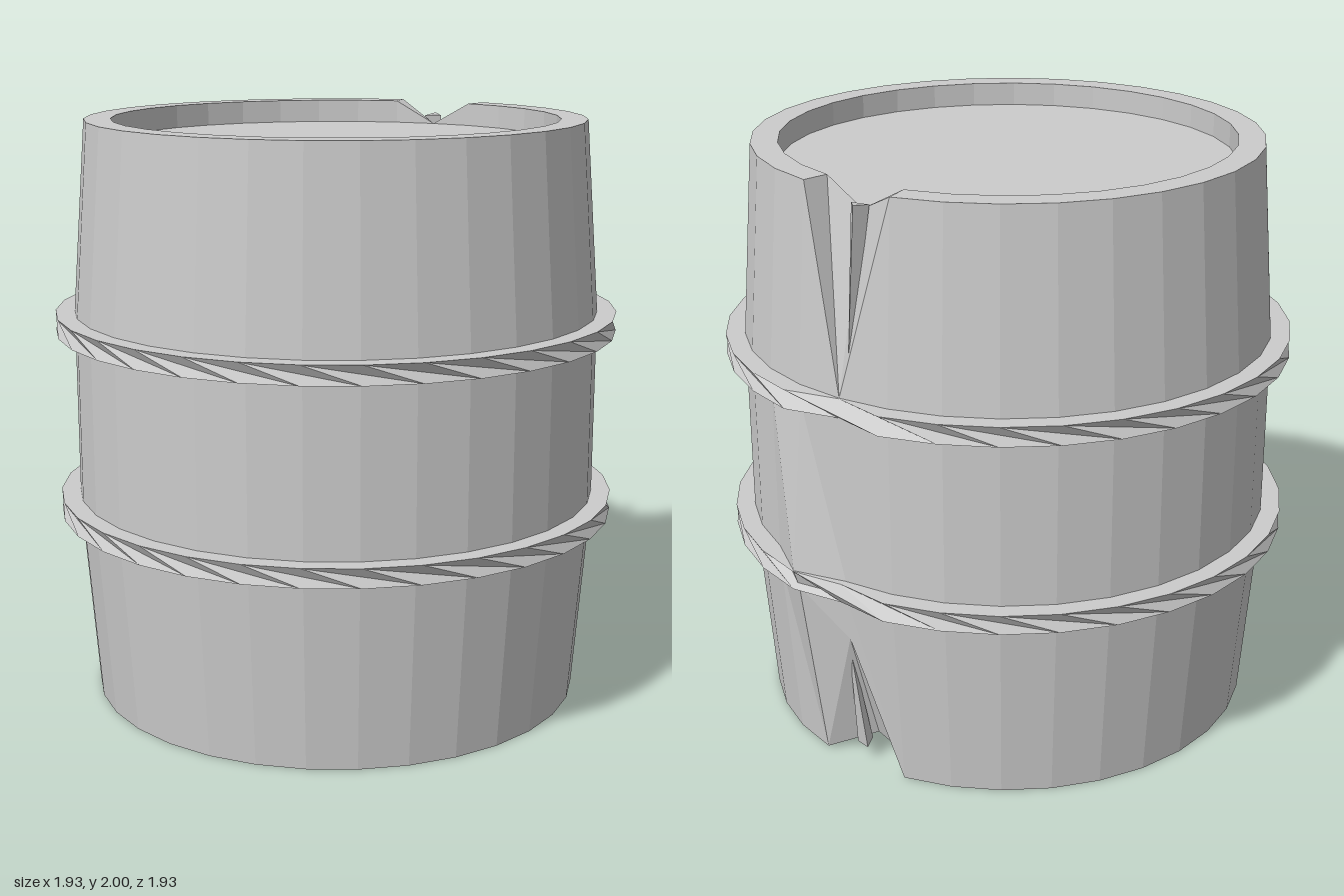
import * as THREE from 'three';

const SIDES = 32;
const BACK = 16; // segment index facing -z; larger indices run towards -x
const material = new THREE.MeshStandardMaterial({ color: 0xcccccc, flatShading: true, side: THREE.DoubleSide });

// Revolves a profile of [radius, y, twist in segments]; dents move single points, keyed "row,segment"
function revolve(name, profile, dents = {}) {
  const positions = [];
  const index = [];
  profile.forEach(([r0, y0, twist = 0], k) => {
    for (let i = 0; i < SIDES; i++) {
      const seg = (i + twist) % SIDES;
      const [r, y] = dents[`${k},${seg}`] || [r0, y0];
      const a = (seg / SIDES) * Math.PI * 2;
      positions.push(r * Math.sin(a), y, r * Math.cos(a));
    }
  });
  for (let k = 0; k < profile.length - 1; k++) {
    for (let i = 0; i < SIDES; i++) {
      const j = (i + 1) % SIDES;
      const a = k * SIDES + i, b = k * SIDES + j;
      const c = b + SIDES, d = a + SIDES;
      index.push(a, b, d, b, c, d);
    }
  }
  const indexed = new THREE.BufferGeometry();
  indexed.setAttribute('position', new THREE.Float32BufferAttribute(positions, 3));
  indexed.setIndex(index);
  const geometry = indexed.toNonIndexed();
  geometry.computeVertexNormals();
  const mesh = new THREE.Mesh(geometry, material);
  mesh.name = name;
  return mesh;
}

// Thin wooden shard from a base point to a tip, both given as [radius, y]
function splinter(name, segment, base, tip, width) {
  const a = (segment / SIDES) * Math.PI * 2;
  const from = new THREE.Vector3(base[0] * Math.sin(a), base[1], base[0] * Math.cos(a));
  const to = new THREE.Vector3(tip[0] * Math.sin(a), tip[1], tip[0] * Math.cos(a));
  const direction = to.clone().sub(from);
  const mesh = new THREE.Mesh(new THREE.ConeGeometry(width, direction.length(), 3), material);
  mesh.position.copy(from).add(to).multiplyScalar(0.5);
  mesh.quaternion.setFromUnitVectors(new THREE.Vector3(0, 1, 0), direction.normalize());
  mesh.name = name;
  return mesh;
}

export function createModel() {
  const barrel = new THREE.Group();
  barrel.name = 'barrel';
  const crack = BACK + 1;

  // Staves, rims and recessed lids, with a V-shaped split at the back of each rim
  barrel.add(revolve('body', [
    [0, 0.08], [0.76, 0.08], [0.76, 0], [0.85, 0],
    [0.9, 0.65], [0.9, 0.71], [0.9, 1.29], [0.9, 1.35],
    [0.85, 2], [0.76, 2], [0.76, 1.92], [0, 1.92],
  ], {
    [`2,${crack}`]: [0.76, 0.08],
    [`3,${crack}`]: [0.89, 0.5],
    [`4,${BACK}`]: [0.94, 0.65],
    [`5,${BACK}`]: [0.96, 0.71],
    [`8,${crack}`]: [0.9, 1.35],
    [`9,${crack}`]: [0.76, 1.92],
  }));

  // Hoops with a twisted outer face, pinched where the staves split
  for (const [name, y, pinch] of [['lowerHoop', 0.65, 0.925], ['upperHoop', 1.285, 0.905]]) {
    barrel.add(revolve(name, [
      [0.89, y], [0.965, y, 1], [0.965, y + 0.065], [0.89, y + 0.065],
    ], {
      [`1,${crack}`]: [pinch, y],
      [`2,${crack}`]: [pinch, y + 0.065],
    }));
  }

  // Shards left standing in the splits
  barrel.add(splinter('upperSplinter', crack + 0.15, [0.81, 1.95], [0.89, 1.38], 0.035));
  barrel.add(splinter('lowerSplinter', crack - 0.1, [0.81, 0.06], [0.88, 0.5], 0.03));

  return barrel;
}
